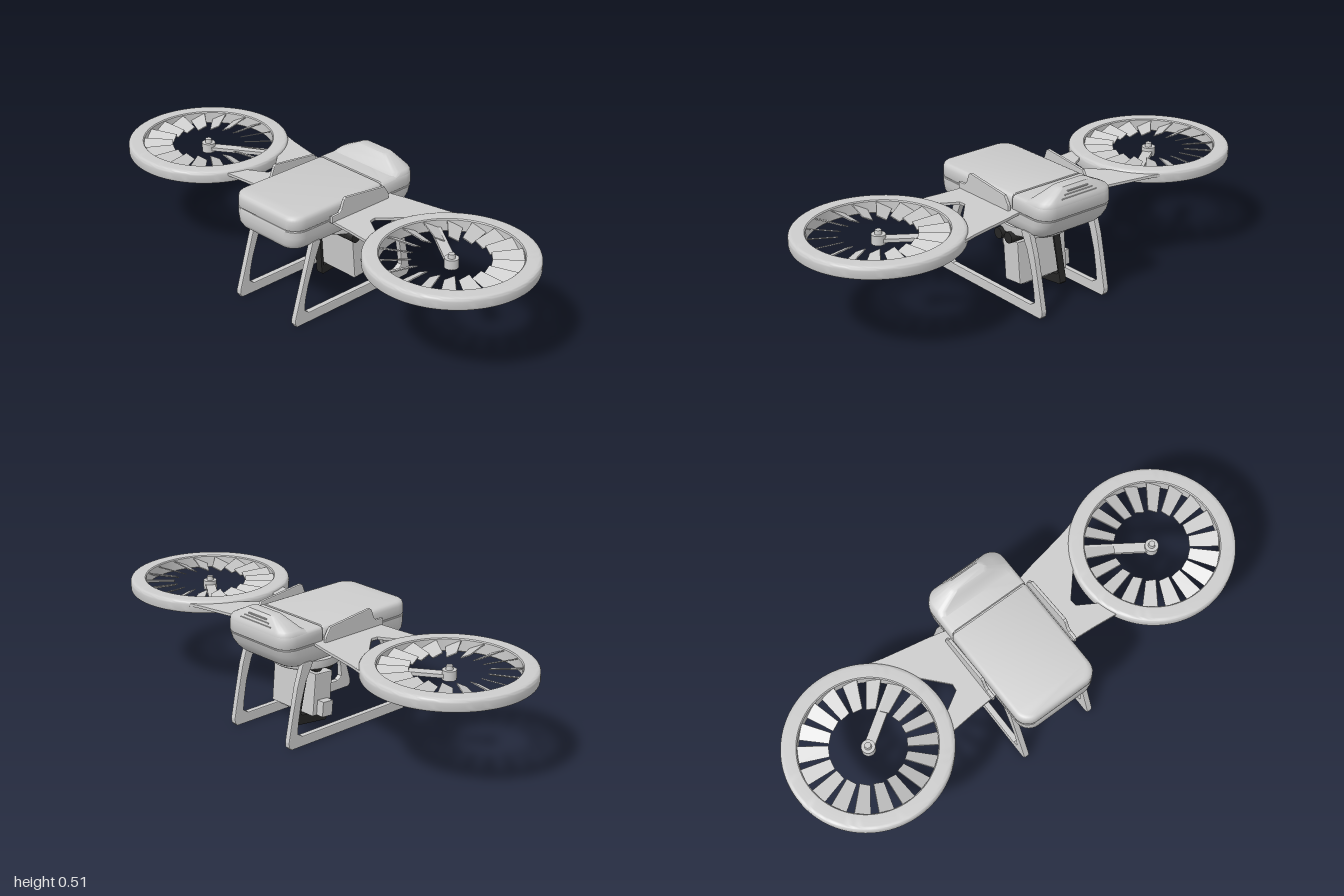
import * as THREE from 'three';
import { toCreasedNormals } from 'three/addons/utils/BufferGeometryUtils.js';

const grey = new THREE.MeshStandardMaterial({ color: 0xcccccc });
const dark = new THREE.MeshStandardMaterial({ color: 0x262626 });

function add(parent, name, geometry, x = 0, y = 0, z = 0, material = grey) {
  const mesh = new THREE.Mesh(geometry, material);
  mesh.name = name;
  mesh.position.set(x, y, z);
  parent.add(mesh);
  return mesh;
}

// Rounded rectangle in plan; front and back corners have their own radii
function planLoop(hw, zf, zb, rf, rb) {
  const corners = [
    [hw - rf, zf - rf, rf, 0], [-hw + rf, zf - rf, rf, 1],
    [-hw + rb, zb + rb, rb, 2], [hw - rb, zb + rb, rb, 3],
  ];
  const pts = [];
  for (const [cx, cz, r, q] of corners) {
    for (let i = 0; i <= 8; i++) {
      const a = (q + i / 8) * Math.PI / 2;
      pts.push([cx + r * Math.cos(a), cz + r * Math.sin(a)]);
    }
  }
  return pts;
}

// Closed solid stacked from levels: [y, halfWidth, zFront, zBack, rFront, rBack]
function stack(levels, crease = 0.6) {
  const loops = levels.map(([y, ...p]) => planLoop(...p).map(([x, z]) => [x, y, z]));
  const n = loops[0].length, pos = [], index = [];
  loops.forEach(l => l.forEach(p => pos.push(...p)));
  for (let k = 0; k < loops.length - 1; k++) {
    for (let i = 0; i < n; i++) {
      const a = k * n + i, b = k * n + (i + 1) % n;
      index.push(a, a + n, b, b, a + n, b + n);
    }
  }
  const top = (loops.length - 1) * n;
  for (let i = 1; i < n - 1; i++) {
    index.push(0, i, i + 1);
    index.push(top, top + i + 1, top + i);
  }
  const g = new THREE.BufferGeometry();
  g.setAttribute('position', new THREE.Float32BufferAttribute(pos, 3));
  g.setIndex(index);
  return toCreasedNormals(g, crease);
}

// Extruded outline, centred on its thickness
function slab(points, thickness, bevel = 0, hole = null) {
  const v = list => list.map(p => new THREE.Vector2(...p));
  const shape = new THREE.Shape(v(points));
  if (hole) shape.holes.push(new THREE.Path(v(hole)));
  const depth = thickness - 2 * bevel;
  return new THREE.ExtrudeGeometry(shape, {
    depth, bevelEnabled: bevel > 0, bevelSize: bevel, bevelThickness: bevel,
    bevelOffset: -bevel, bevelSegments: 2,
  }).translate(0, 0, -depth / 2);
}
const sideSlab = (...args) => slab(...args).rotateY(-Math.PI / 2); // outline in (z, y)
const flatSlab = (...args) => slab(...args).rotateX(Math.PI / 2);  // outline in (x, z)

function createBody() {
  const body = new THREE.Group();
  body.name = 'body';
  add(body, 'lowerShell', stack([
    [0.310, 0.115, 0.27, -0.255, 0.04, 0.04],
    [0.314, 0.138, 0.287, -0.272, 0.05, 0.05],
    [0.324, 0.157, 0.302, -0.287, 0.055, 0.055],
    [0.342, 0.170, 0.311, -0.304, 0.06, 0.06],
    [0.370, 0.175, 0.312, -0.322, 0.06, 0.06],
    [0.398, 0.176, 0.312, -0.331, 0.06, 0.06],
    [0.401, 0.174, 0.310, -0.330, 0.06, 0.06],
  ]));
  add(body, 'innerCore', stack([
    [0.39, 0.170, 0.306, -0.326, 0.06, 0.06],
    [0.452, 0.167, 0.304, -0.326, 0.06, 0.06],
  ]));
  add(body, 'topCover', stack([
    [0.404, 0.175, 0.311, -0.140, 0.06, 0.004],
    [0.407, 0.176, 0.312, -0.140, 0.06, 0.004],
    [0.440, 0.175, 0.312, -0.140, 0.06, 0.004],
    [0.450, 0.172, 0.309, -0.140, 0.057, 0.004],
    [0.456, 0.166, 0.303, -0.139, 0.052, 0.004],
    [0.459, 0.157, 0.294, -0.138, 0.045, 0.004],
  ]));
  add(body, 'rearCover', stack([
    [0.404, 0.175, -0.145, -0.332, 0.004, 0.06],
    [0.407, 0.176, -0.145, -0.333, 0.004, 0.06],
    [0.435, 0.175, -0.145, -0.334, 0.004, 0.06],
    [0.449, 0.173, -0.145, -0.333, 0.004, 0.058],
    [0.456, 0.168, -0.146, -0.331, 0.004, 0.055],
    [0.459, 0.160, -0.147, -0.328, 0.004, 0.05],
  ]));
  add(body, 'rearHump', stack([
    [0.450, 0.172, -0.190, -0.333, 0.03, 0.057],
    [0.459, 0.170, -0.212, -0.332, 0.03, 0.055],
    [0.468, 0.162, -0.226, -0.327, 0.03, 0.048],
    [0.490, 0.118, -0.241, -0.315, 0.025, 0.035],
    [0.506, 0.086, -0.251, -0.306, 0.022, 0.025],
    [0.511, 0.076, -0.257, -0.301, 0.02, 0.02],
  ]));
  // Vent slats on the rear slope
  for (let i = 0; i < 3; i++) {
    add(body, 'ventSlat', new THREE.BoxGeometry(0.17 - i * 0.035, 0.004, 0.008),
      0, 0.474 + i * 0.011, -0.323 + i * 0.0055);
  }
  // Upright side fins above the wing roots
  const fin = [[0.145, 0.40], [0.145, 0.428], [0.108, 0.430], [0.097, 0.440], [0.083, 0.477],
    [0.073, 0.484], [-0.130, 0.460], [-0.152, 0.425], [-0.155, 0.40]];
  for (const s of [-1, 1]) add(body, 'sideFin', sideSlab(fin, 0.014, 0.004), s * 0.194);
  return body;
}

function createRotor(s) {
  const rotor = new THREE.Group();
  rotor.name = s > 0 ? 'leftRotor' : 'rightRotor';
  rotor.position.set(s * 0.675, 0, 0.008);
  // Duct ring with rounded section
  const section = new THREE.Shape();
  const [r0, r1, y0, y1, c] = [0.262, 0.325, 0.361, 0.414, 0.016];
  section.moveTo(r0, y0 + 0.004).lineTo(r0 + 0.004, y0).lineTo(r1 - c, y0);
  section.quadraticCurveTo(r1, y0, r1, y0 + c).lineTo(r1, y1 - c);
  section.quadraticCurveTo(r1, y1, r1 - c, y1).lineTo(r0 + 0.004, y1);
  section.lineTo(r0, y1 - 0.004).lineTo(r0, y0 + 0.004);
  add(rotor, 'ductRing', toCreasedNormals(new THREE.LatheGeometry(section.getPoints(5), 96), 0.7));
  // Tapered, pitched blades reaching inward from the ring
  const count = 18;
  const blade = new THREE.BoxGeometry(0.124, 0.004, 1);
  const p = blade.attributes.position;
  for (let i = 0; i < p.count; i++) p.setZ(i, p.getZ(i) * (p.getX(i) > 0 ? 0.066 : 0.042));
  blade.rotateX(s * 0.45).translate(0.208, 0.392, 0);
  blade.computeVertexNormals();
  for (let i = 0; i < count; i++) {
    add(rotor, 'blade', blade).rotation.y = (i + 0.5) / count * Math.PI * 2;
  }
  // Motor hub and the single strut that carries it
  add(rotor, 'hub', new THREE.CylinderGeometry(0.027, 0.027, 0.037, 32), 0, 0.376);
  add(rotor, 'hubCap', new THREE.CylinderGeometry(0.012, 0.014, 0.018, 24), 0, 0.402);
  const strut = add(rotor, 'hubStrut', new THREE.BoxGeometry(0.27, 0.014, 0.04).translate(0.135, 0, 0), 0, 0.373);
  strut.rotation.y = s > 0 ? Math.PI - 0.6 : 0.6;
  return rotor;
}

function createWing(s) {
  const outline = [[0.165, -0.185], [0.25, -0.205], [0.34, -0.222], [0.43, -0.24], [0.51, -0.262],
    [0.445, -0.185], [0.40, -0.10], [0.365, -0.09], [0.282, 0.003], [0.285, 0.03], [0.375, 0.085], [0.40, 0.10],
    [0.43, 0.165], [0.39, 0.153], [0.29, 0.143], [0.165, 0.135]];
  const geometry = flatSlab(outline.map(([x, z]) => [s * x, z]), 0.012, 0.002);
  const mesh = new THREE.Mesh(geometry, grey);
  mesh.name = s > 0 ? 'leftWing' : 'rightWing';
  mesh.position.y = 0.398;
  return mesh;
}

function createCamera() {
  const cam = new THREE.Group();
  cam.name = 'cameraUnit';
  // Round mount under the body
  const profile = [[0, 0.265], [0.128, 0.265], [0.135, 0.270], [0.137, 0.277], [0.137, 0.303], [0.10, 0.314], [0, 0.318]]
    .map(q => new THREE.Vector2(...q));
  add(cam, 'mount', toCreasedNormals(new THREE.LatheGeometry(profile, 64), 0.5), 0, 0, -0.073);
  for (const z of [-0.031, -0.090]) {
    add(cam, 'rollerBar', new THREE.CylinderGeometry(0.0225, 0.0225, 0.24, 32).rotateZ(Math.PI / 2), 0.03, 0.258, z, dark);
  }
  // Dark hanger loop around the camera
  add(cam, 'hanger', sideSlab(
    [[-0.014, 0.265], [-0.130, 0.265], [-0.178, 0.042], [-0.172, 0.034], [-0.036, 0.018], [-0.029, 0.024]],
    0.032, 0.003,
    [[-0.026, 0.250], [-0.040, 0.056], [-0.155, 0.072], [-0.161, 0.080], [-0.124, 0.250]]), -0.055, 0, 0, dark);
  // Tilted camera housing
  const head = new THREE.Group();
  head.name = 'cameraHead';
  head.position.set(0.01, 0.153, -0.084);
  head.rotation.x = 0.085;
  add(head, 'housing', sideSlab([[0.044, -0.085], [0.044, 0.085], [-0.044, 0.085], [-0.044, -0.085]], 0.236, 0.004));
  add(head, 'sidePod', new THREE.BoxGeometry(0.034, 0.06, 0.05), -0.134, -0.052, 0);
  add(head, 'basePlate', new THREE.BoxGeometry(0.17, 0.012, 0.06), 0.005, -0.089, 0);
  cam.add(head);
  return cam;
}

function createSkid(s) {
  const outline = [[0.203, 0.338], [0.215, 0.335], [0.245, 0.235], [0.305, 0.035], [0.306, 0.018], [0.296, 0.003],
    [-0.298, 0.003], [-0.310, 0.015], [-0.312, 0.035], [-0.293, 0.13], [-0.267, 0.25], [-0.240, 0.332], [-0.232, 0.338],
    [-0.200, 0.338], [-0.188, 0.330], [-0.222, 0.265], [-0.248, 0.18], [-0.262, 0.10], [-0.266, 0.06], [-0.243, 0.045],
    [0.235, 0.045], [0.254, 0.060], [0.252, 0.10], [0.236, 0.165], [0.205, 0.25], [0.172, 0.328], [0.178, 0.338]];
  const mesh = new THREE.Mesh(sideSlab(outline, 0.024, 0.004).translate(0, -0.003, 0), grey);
  mesh.name = s > 0 ? 'leftSkid' : 'rightSkid';
  mesh.position.x = s * 0.157;
  return mesh;
}

export function createModel() {
  const model = new THREE.Group();
  model.name = 'ductedDrone';
  model.add(createBody(), createCamera());
  for (const s of [-1, 1]) model.add(createRotor(s), createWing(s), createSkid(s));
  return model;
}
